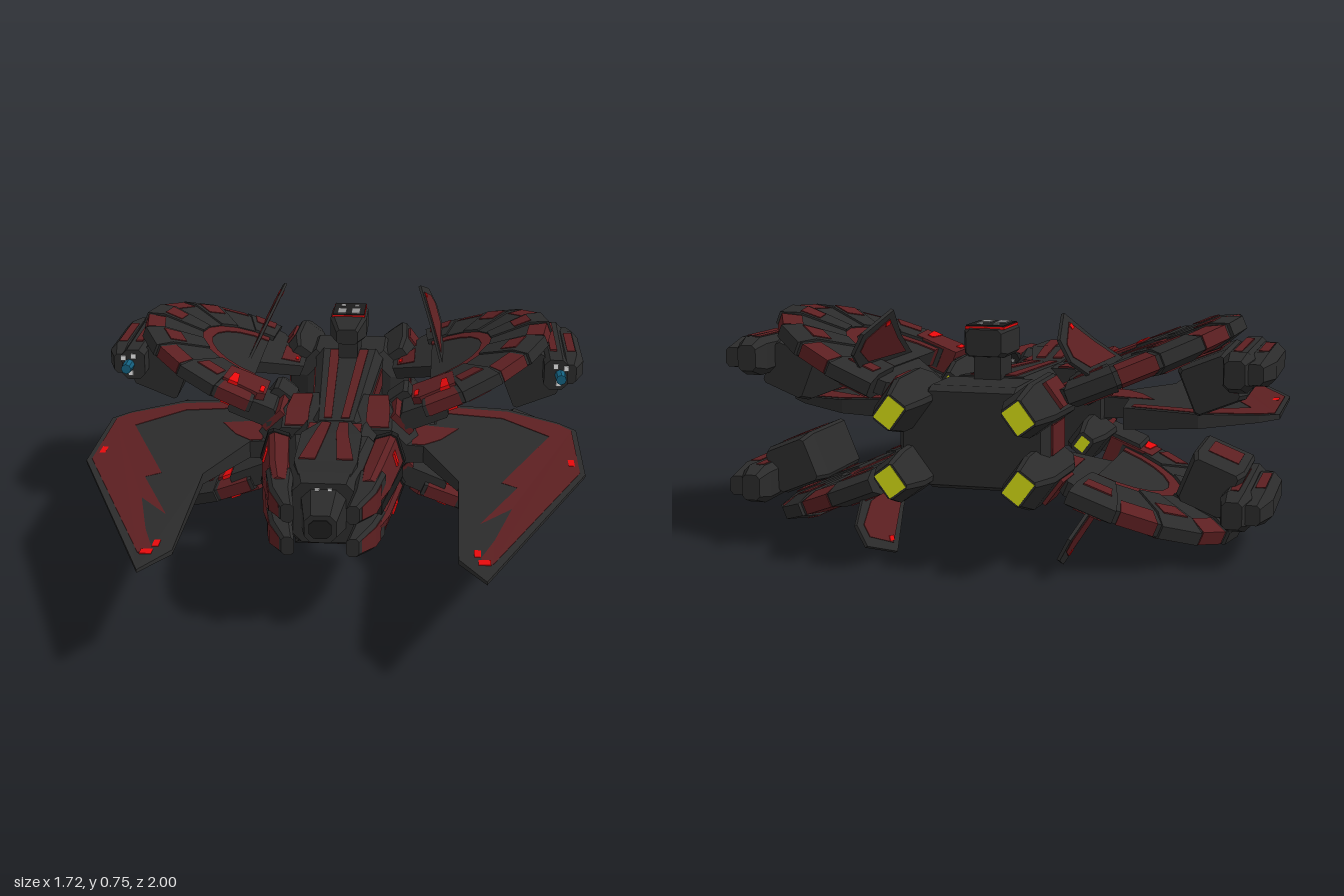
import * as THREE from 'three';

const mat = (name, color) => Object.assign(new THREE.MeshStandardMaterial({ color }), { name });

// Flat facets, always wound outwards
function solid(geo) {
  const g = geo.index ? geo.toNonIndexed() : geo;
  g.deleteAttribute('uv');
  const p = g.attributes.position, a = new THREE.Vector3(), b = new THREE.Vector3(), c = new THREE.Vector3();
  let vol = 0;
  for (let i = 0; i < p.count; i += 3) {
    a.fromBufferAttribute(p, i); b.fromBufferAttribute(p, i + 1); c.fromBufferAttribute(p, i + 2);
    vol += a.dot(b.cross(c));
  }
  if (vol < 0) for (let i = 0; i < p.count; i += 3) {
    b.fromBufferAttribute(p, i + 1); c.fromBufferAttribute(p, i + 2);
    p.setXYZ(i + 1, c.x, c.y, c.z); p.setXYZ(i + 2, b.x, b.y, b.z);
  }
  g.computeVertexNormals();
  return g;
}

// Closed skin through cross-sections with equal point counts
function loft(rings) {
  const v = [], n = rings[0].length, tri = (...t) => t.forEach(q => v.push(q.x, q.y, q.z));
  for (let k = 0; k + 1 < rings.length; k++) for (let i = 0; i < n; i++) {
    const j = (i + 1) % n, A = rings[k], B = rings[k + 1];
    tri(A[i], A[j], B[j]); tri(A[i], B[j], B[i]);
  }
  const A = rings[0], B = rings[rings.length - 1];
  for (let i = 1; i + 1 < n; i++) { tri(A[0], A[i + 1], A[i]); tri(B[0], B[i], B[i + 1]); }
  return solid(new THREE.BufferGeometry().setAttribute('position', new THREE.Float32BufferAttribute(v, 3)));
}

// Chamfered rectangle at depth z: half sizes w, h, chamfer c, centre x, y, roll r
function sec(z, w, h, c = 0, x = 0, y = 0, r = 0) {
  const pts = c ? [[w, h - c], [w - c, h], [c - w, h], [-w, h - c], [-w, c - h], [c - w, -h], [w - c, -h], [w, c - h]]
    : [[w, h], [-w, h], [-w, -h], [w, -h]];
  const C = Math.cos(r), S = Math.sin(r);
  return pts.map(([a, b]) => new THREE.Vector3(x + a * C - b * S, y + a * S + b * C, z));
}

// Slice of a ring between two angles, from a (radius, height) profile
function sector(profile, a0, a1, n = 1) {
  const rings = [];
  for (let i = 0; i <= n; i++) {
    const a = a0 + (a1 - a0) * i / n;
    rings.push(profile.map(([r, y]) => new THREE.Vector3(r * Math.cos(a), y, r * Math.sin(a))));
  }
  return loft(rings);
}
const slab = (r0, r1, t) => [[r0, -t], [r1, -t], [r1, t], [r0, t]];

// Horizontal plate from an (x, z) outline with half thickness f(x, z)
function plate(outline, f) {
  const s = new THREE.Shape(outline.map(q => new THREE.Vector2(...q)));
  const g = new THREE.ExtrudeGeometry(s, { depth: 2, bevelEnabled: false }).rotateX(Math.PI / 2).translate(0, 1, 0);
  const p = g.attributes.position;
  for (let i = 0; i < p.count; i++) p.setY(i, p.getY(i) * f(p.getX(i), p.getZ(i)));
  return solid(g);
}
const box = (w, h, d, x, y, z, r = 0) => new THREE.BoxGeometry(w, h, d).rotateZ(r).translate(x, y, z);

export function createModel() {
  const root = new THREE.Group();
  root.name = 'starship';
  root.position.y = 0.375;
  const dark = mat('dark hull', 0x2b2b2b), black = mat('black trim', 0x1c1c1c), red = mat('deep red', 0x5c1f21),
    bright = mat('bright red', 0xee0a0c), blue = mat('blue', 0x14607f), white = mat('white', 0xe8e8e8),
    grey = mat('grey', 0x8f8f8f), yellow = mat('yellow', 0xd4dc14);

  // Adds a part, repeated across the x and y mirror planes when asked
  const add = (name, geo, m, mirror = '') => {
    for (const sx of mirror.includes('x') ? [1, -1] : [1]) for (const sy of mirror.includes('y') ? [1, -1] : [1]) {
      const mesh = new THREE.Mesh(solid(geo.clone().scale(sx, sy, 1)), m);
      mesh.name = name;
      root.add(mesh);
    }
  };

  // Central hull
  add('rearHull', loft([sec(-0.83, 0.21, 0.14, 0.08), sec(-0.8, 0.23, 0.155, 0.1), sec(-0.62, 0.23, 0.155, 0.1), sec(-0.58, 0.16, 0.13, 0.07)]), dark);
  add('spine', loft([sec(-0.62, 0.13, 0.16, 0.03), sec(0.06, 0.08, 0.12, 0.02)]), dark);
  add('spineStripe', loft([sec(-0.6, 0.018, 0.163, 0, 0.055), sec(0.04, 0.014, 0.125, 0, 0.03)]), red, 'x');
  add('spineSidePanel', loft([sec(-0.55, 0.01, 0.035, 0, 0.12, 0.07), sec(0, 0.01, 0.025, 0, 0.08, 0.05)]), red, 'xy');
  add('midHull', loft([sec(-0.19, 0.25, 0.13, 0.09), sec(-0.04, 0.28, 0.125, 0.09), sec(0.05, 0.25, 0.085, 0.06)]), dark);
  add('midTopPanel', loft([sec(-0.17, 0.035, 0.006, 0, 0.135, 0.128), sec(-0.04, 0.04, 0.006, 0, 0.14, 0.123), sec(0.04, 0.04, 0.006, 0, 0.14, 0.088)]), red, 'xy');
  add('midPanel', loft([sec(-0.16, 0.045, 0.012, 0, 0.225, 0.1, -0.75), sec(0.0, 0.045, 0.012, 0, 0.225, 0.09, -0.75)]), red, 'xy');
  add('neck', loft([sec(0, 0.145, 0.1, 0.04), sec(0.08, 0.145, 0.115, 0.05), sec(0.24, 0.14, 0.115, 0.05)]), dark);
  add('neckPanel', box(0.03, 0.238, 0.12, 0.075, 0, 0.14), red, 'x');

  // Head
  const lean = 0.3;
  add('head', loft([sec(0.19, 0.17, 0.115, 0.05), sec(0.25, 0.19, 0.14, 0.07), sec(0.48, 0.15, 0.135, 0.06), sec(0.56, 0.12, 0.1, 0.05)]), dark);
  add('headRidge', loft([sec(0.06, 0.05, 0.118), sec(0.25, 0.1, 0.148), sec(0.48, 0.1, 0.143), sec(0.53, 0.08, 0.11)]), dark);
  add('headStripe', loft([sec(0.1, 0.016, 0.13, 0, 0.03), sec(0.25, 0.02, 0.152, 0, 0.035), sec(0.47, 0.026, 0.148, 0, 0.06)]), red, 'x');
  add('headArmour', loft([sec(0.21, 0.04, 0.058, 0.015, 0.187, 0.073, lean), sec(0.46, 0.036, 0.055, 0.015, 0.158, 0.073, lean), sec(0.55, 0.025, 0.045, 0.012, 0.145, 0.068, lean)]), red, 'xy');
  add('armourTrim', loft([sec(0.195, 0.043, 0.061, 0.015, 0.19, 0.073, lean), sec(0.225, 0.043, 0.061, 0.015, 0.187, 0.073, lean)]), black, 'xy');
  add('cheekRail', loft([sec(0.2, 0.02, 0.02, 0, 0.215, 0), sec(0.52, 0.02, 0.016, 0, 0.16, 0)]), black, 'x');
  add('headLight', box(0.014, 0.042, 0.04, 0.211, 0.085, 0.3, lean), bright, 'xy');
  add('headVent', box(0.055, 0.08, 0.008, 0.19, 0.073, 0.193, lean), grey, 'xy');
  add('nose', loft([sec(0.5, 0.085, 0.09, 0.03), sec(0.56, 0.07, 0.08, 0.03), sec(0.68, 0.05, 0.045, 0.02)]), dark);
  add('noseFace', loft([sec(0.675, 0.035, 0.03, 0.015), sec(0.684, 0.035, 0.03, 0.015)]), black);
  add('noseLight', box(0.014, 0.008, 0.014, 0.02, 0.081, 0.56), white, 'x');
  add('jawProng', loft([sec(0.48, 0.045, 0.05, 0.012, 0.145, 0.065), sec(0.6, 0.035, 0.045, 0.012, 0.13, 0.057), sec(0.69, 0.02, 0.03, 0.01, 0.1, 0.055)]), dark, 'xy');
  add('prongPanel', loft([sec(0.54, 0.008, 0.034, 0, 0.172, 0.06), sec(0.6, 0.008, 0.033, 0, 0.16, 0.057), sec(0.675, 0.008, 0.022, 0, 0.12, 0.055)]), red, 'xy');

  // Bridge tower
  add('bridgeStem', loft([sec(-0.66, 0.042, 0.06, 0, 0, 0.18), sec(-0.52, 0.036, 0.06, 0, 0, 0.18)]), dark);
  add('bridge', loft([sec(-0.7, 0.055, 0.04, 0.012, 0, 0.27), sec(-0.67, 0.068, 0.046, 0.012, 0, 0.27), sec(-0.54, 0.068, 0.046, 0.012, 0, 0.27), sec(-0.46, 0.04, 0.028, 0.01, 0, 0.255)]), dark);
  add('bridgeBand', box(0.122, 0.008, 0.155, 0, 0.314, -0.61), bright);
  add('bridgeRoof', box(0.118, 0.008, 0.15, 0, 0.318, -0.61), black);
  add('bridgePlate', box(0.032, 0.008, 0.065, 0.026, 0.321, -0.575), grey, 'x');
  add('bridgeLamp', box(0.016, 0.008, 0.016, 0.026, 0.321, -0.65), white, 'x');

  // Engines: four at the back, four smaller amidships
  const roll = 0.64;
  add('rearEngine', loft([sec(-0.62, 0.04, 0.06, 0.01, 0.2, 0.1, roll), sec(-0.7, 0.062, 0.068, 0.012, 0.2, 0.105, roll), sec(-0.9, 0.058, 0.064, 0.012, 0.195, 0.105, roll), sec(-1, 0.036, 0.045, 0.01, 0.19, 0.1, roll)]), dark, 'xy');
  add('rearGlow', box(0.06, 0.078, 0.008, 0.19, 0.1, -0.998, roll), yellow, 'xy');
  add('enginePanel', loft([sec(-0.84, 0.064, 0.045, 0, 0.203, 0.108, roll), sec(-0.71, 0.066, 0.045, 0, 0.203, 0.108, roll)]), red, 'xy');
  add('hullSidePanel', box(0.012, 0.09, 0.15, 0.23, 0, -0.71), red, 'x');
  add('midEngine', loft([sec(-0.14, 0.052, 0.06, 0.012, 0.225, 0.09, roll), sec(-0.28, 0.048, 0.055, 0.012, 0.225, 0.09, roll), sec(-0.355, 0.028, 0.034, 0.01, 0.225, 0.09, roll)]), dark, 'xy');
  add('midGlow', box(0.034, 0.044, 0.006, 0.225, 0.09, -0.353, roll), yellow, 'xy');

  // Flat blade wings
  const thick = (x, z) => Math.max(0.005, 0.046 - 0.05 * x - 0.02 * z);
  const skin = (x, z) => thick(x, z) + 0.002;
  add('wing', plate([[0.2, 0.05], [0.3, 0.05], [0.42, 0.32], [0.42, 0.87], [0.5, 1], [0.84, 0.2], [0.84, -0.2], [0.78, -0.26], [0.6, -0.36], [0.36, -0.36], [0.34, -0.16], [0.2, -0.16]], thick), dark, 'x');
  add('wingBand', plate([[0.823, -0.19], [0.823, 0.19], [0.52, 0.89], [0.47, 0.9], [0.46, 0.83], [0.53, 0.67], [0.48, 0.64], [0.61, 0.34], [0.56, 0.31], [0.69, 0], [0.74, -0.12], [0.58, -0.26], [0.38, -0.27], [0.38, -0.33], [0.6, -0.33], [0.78, -0.24]], skin), red, 'x');
  add('wingRoot', plate([[0.26, 0.04], [0.3, 0.04], [0.36, -0.02], [0.42, -0.13], [0.26, -0.14]], skin), red, 'x');
  const mark = (x, z) => thick(x, z) + 0.004;
  for (const [x, z, w, d] of [[0.495, 0.885, 0.018, 0.016], [0.475, 0.83, 0.01, 0.022], [0.8, 0.11, 0.01, 0.028]])
    add('wingLight', plate([[x - w, z - d], [x + w, z - d], [x + w, z + d], [x - w, z + d]], mark), bright, 'x');

  // Four tilted half-disc claws
  const tilt = 0.385, H = Math.PI / 2;
  const claw = (name, geo, m) => add(name, geo.rotateZ(tilt).translate(0.325, 0.155, -0.425), m, 'xy');
  claw('clawPlate', sector(slab(0.0001, 0.2, 0.026), -H, H, 10), dark);
  claw('clawRing', sector(slab(0.198, 0.24, 0.03), -H, H, 10), red);
  const count = 10, step = 2 * H * 1.04 / count;
  for (let i = 0; i < count; i++) {
    const a = -H * 1.04 + i * step, k = i % 2, R = k ? 0.445 : 0.455, t = k ? 0.034 : 0.04;
    claw('clawSegment', sector([[0.238, -t], [R - 0.06, -t], [R, -0.02], [R, 0.02], [R - 0.06, t], [0.238, t]], a, a + step), dark);
    claw('clawPatch', k ? sector([[R - 0.06, -t - 0.002], [R + 0.002, -0.021], [R + 0.002, 0.021], [R - 0.06, t + 0.002]], a + 0.03, a + step - 0.03)
      : sector(slab(0.33, 0.395, t + 0.003), a + 0.05, a + step - 0.05), red);
  }
  claw('clawRootPanel', plate([[-0.06, 0.24], [0.09, 0.24], [0.1, 0.38], [-0.03, 0.4], [-0.06, 0.38]], () => 0.042), red);
  claw('clawLight', plate([[0.05, 0.3], [0.07, 0.3], [0.08, 0.39], [0.045, 0.39]], () => 0.045), bright);
  claw('clawSmallLight', plate([[-0.05, 0.32], [-0.034, 0.32], [-0.034, 0.375], [-0.05, 0.375]], () => 0.045), bright);
  claw('clawStrut', plate([[0.02, 0.06], [-0.16, -0.1], [-0.16, -0.2], [-0.05, -0.38], [0.02, -0.4]], () => 0.022), dark);
  claw('strutPanel', plate([[-0.07, -0.08], [-0.14, -0.12], [-0.14, -0.18], [-0.07, -0.25]], () => 0.025), red);
  claw('strutLight', plate([[-0.12, -0.13], [-0.132, -0.13], [-0.132, -0.16], [-0.12, -0.16]], () => 0.028), bright);
  add('clawArm', loft([sec(-0.17, 0.08, 0.035, 0.01, 0.3, 0.125, tilt), sec(0.0, 0.08, 0.035, 0.01, 0.3, 0.125, tilt)]), dark, 'xy');

  // Swept blades on the claws
  const blade = (name, pts, t, m) => add(name, plate(pts, () => t).rotateZ(2.05).translate(0.355, 0.19, 0), m, 'xy');
  blade('fin', [[0, -0.35], [0.1, -0.58], [0.205, -0.77], [0.14, -0.94], [0.07, -0.94], [0, -0.8]], 0.005, dark);
  blade('finPanel', [[0.02, -0.44], [0.09, -0.6], [0.175, -0.77], [0.12, -0.9], [0.08, -0.9], [0.03, -0.78]], 0.007, red);
  blade('finLight', [[0.155, -0.75], [0.17, -0.76], [0.165, -0.79], [0.15, -0.78]], 0.009, bright);

  // Gun pods and their brackets
  add('podBracket', loft([sec(-0.62, 0.07, 0.07, 0.01, 0.67, 0.155, tilt), sec(-0.56, 0.085, 0.08, 0.01, 0.67, 0.155, tilt), sec(-0.3, 0.085, 0.08, 0.01, 0.67, 0.155, tilt)]), dark, 'xy');
  add('bracketPanel', box(0.1, 0.165, 0.16, 0.67, 0.155, -0.43, tilt), red, 'xy');
  add('podInner', loft([sec(-0.74, 0.03, 0.04, 0.012, 0.755, 0.205), sec(-0.68, 0.045, 0.06, 0.02, 0.76, 0.205), sec(-0.23, 0.042, 0.055, 0.02, 0.76, 0.205)]), dark, 'xy');
  add('podOuter', loft([sec(-0.72, 0.025, 0.03, 0.01, 0.81, 0.205), sec(-0.6, 0.045, 0.05, 0.025, 0.817, 0.205), sec(-0.32, 0.045, 0.05, 0.025, 0.817, 0.205), sec(-0.24, 0.022, 0.035, 0.01, 0.81, 0.205)]), dark, 'xy');
  add('podStripe', box(0.025, 0.124, 0.34, 0.755, 0.205, -0.5), red, 'xy');
  add('podSideStripe', box(0.03, 0.104, 0.22, 0.82, 0.205, -0.46), red, 'xy');
  add('gunBarrel', new THREE.CylinderGeometry(0.018, 0.022, 0.1, 8).rotateX(H).translate(0.775, 0.205, -0.225), blue, 'xy');
  for (const [x, y] of [[0.758, 0.237], [0.795, 0.23], [0.77, 0.173]])
    add('gunLamp', box(0.018, 0.018, 0.008, x, y, -0.228), white, 'xy');
  return root;
}
